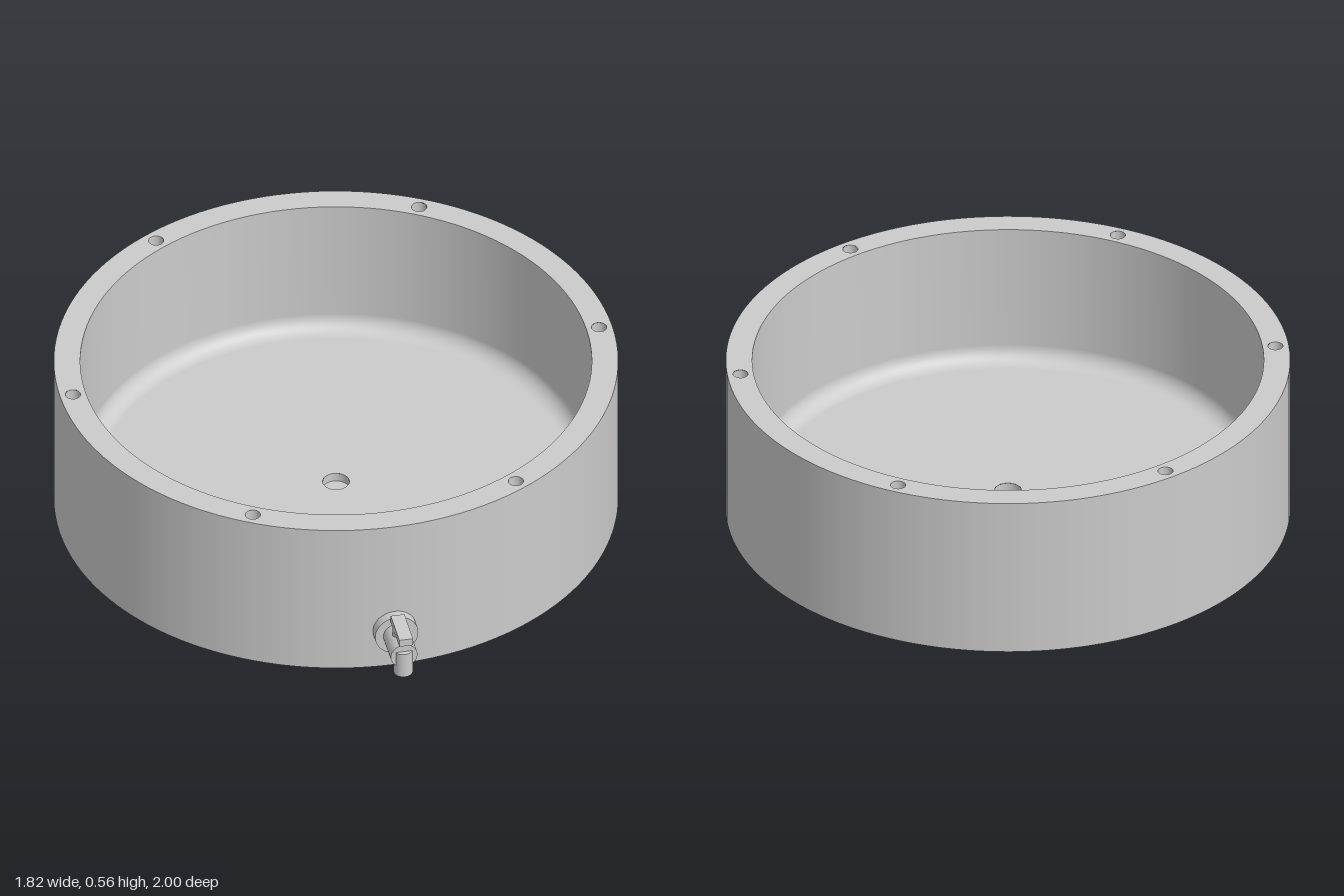
import * as THREE from 'three';

const metal = new THREE.MeshStandardMaterial({ color: 0xcbcbcb });
metal.name = 'grey metal';

const R = 0.91, INNER = 0.825, H = 0.555, FLOOR = 0.068, FILLET = 0.056;
const DRAIN = 0.043, CZ = -0.09;

function add(parent, name, geometry, x = 0, y = 0, z = 0) {
  const mesh = new THREE.Mesh(geometry, metal);
  mesh.name = name;
  mesh.position.set(x, y, z);
  parent.add(mesh);
  return mesh;
}

// surface of revolution: rising points face outward, falling points face inward
function sweep(points, segments = 128) {
  return new THREE.LatheGeometry(points.map(([r, y]) => new THREE.Vector2(r, y)), segments);
}

// six evenly spaced spots on a circle
function spots(radius) {
  return Array.from({ length: 6 }, (_, i) => {
    const a = (i * Math.PI) / 3;
    return [radius * Math.cos(a), radius * Math.sin(a)];
  });
}

// flat disc or ring with round holes, lying in the ground plane
function plate(outer, holes, facing) {
  const shape = new THREE.Shape().absarc(0, 0, outer, 0, Math.PI * 2, false);
  for (const [x, y, r] of holes) {
    shape.holes.push(new THREE.Path().absarc(x, y, r, 0, Math.PI * 2, true));
  }
  return new THREE.ShapeGeometry(shape, 64).rotateX((-facing * Math.PI) / 2);
}

function createBasin() {
  const basin = new THREE.Group();
  basin.name = 'basin';
  basin.position.z = CZ;
  add(basin, 'outerWall', sweep([[R, 0], [R, H]]));

  // inner wall running through a rounded corner into the floor
  const profile = [[INNER, H]];
  for (let i = 0; i <= 10; i++) {
    const a = (i / 10) * (Math.PI / 2);
    profile.push([INNER - FILLET + FILLET * Math.cos(a), FLOOR + FILLET - FILLET * Math.sin(a)]);
  }
  profile.push([DRAIN, FLOOR]);
  add(basin, 'innerWallAndFloor', sweep(profile));

  // drain recess
  add(basin, 'drainWall', sweep([[DRAIN, FLOOR], [DRAIN, FLOOR - 0.03]], 32));
  add(basin, 'drainBottom', sweep([[DRAIN, FLOOR - 0.03], [0, FLOOR - 0.03]], 32));

  // rim with blind bolt holes
  const bolt = 0.0245, depth = 0.1;
  const bolts = spots(0.867);
  add(basin, 'rim', plate(R, [[0, 0, INNER], ...bolts.map(([x, z]) => [x, z, bolt])], 1), 0, H, 0);
  for (const [x, z] of bolts) {
    add(basin, 'boltHoleWall', sweep([[bolt, H], [bolt, H - depth]], 24), x, 0, z);
    add(basin, 'boltHoleBottom', sweep([[bolt, H - depth], [0, H - depth]], 24), x, 0, z);
  }

  // underside with small blind holes
  const pin = 0.009, pinDepth = 0.03;
  const pins = spots(0.8);
  add(basin, 'underside', plate(R, pins.map(([x, z]) => [x, z, pin]), -1));
  for (const [x, z] of pins) {
    add(basin, 'pinHoleWall', sweep([[pin, pinDepth], [pin, 0]], 12), x, 0, z);
    add(basin, 'pinHoleTop', sweep([[0, pinDepth], [pin, pinDepth]], 12), x, 0, z);
  }
  return basin;
}

function createTap() {
  const tap = new THREE.Group();
  tap.name = 'tap';
  const y = 0.143;
  const along = (r, z0, z1) =>
    new THREE.CylinderGeometry(r, r, z1 - z0, 40).rotateX(Math.PI / 2).translate(0, y, (z0 + z1) / 2);
  add(tap, 'flange', along(0.071, 0.8, 0.853));
  add(tap, 'valveBody', along(0.044, 0.84, 0.968));
  add(tap, 'spout', new THREE.CylinderGeometry(0.031, 0.031, 0.09, 32), 0, 0.116, 0.954);
  add(tap, 'stem', new THREE.CylinderGeometry(0.024, 0.024, 0.05, 24), 0, 0.187, 0.9);
  add(tap, 'handle', new THREE.BoxGeometry(0.045, 0.026, 0.134), 0, 0.22, 0.933);
  return tap;
}

export function createModel() {
  const model = new THREE.Group();
  model.name = 'basinWithTap';
  model.add(createBasin(), createTap());
  return model;
}
